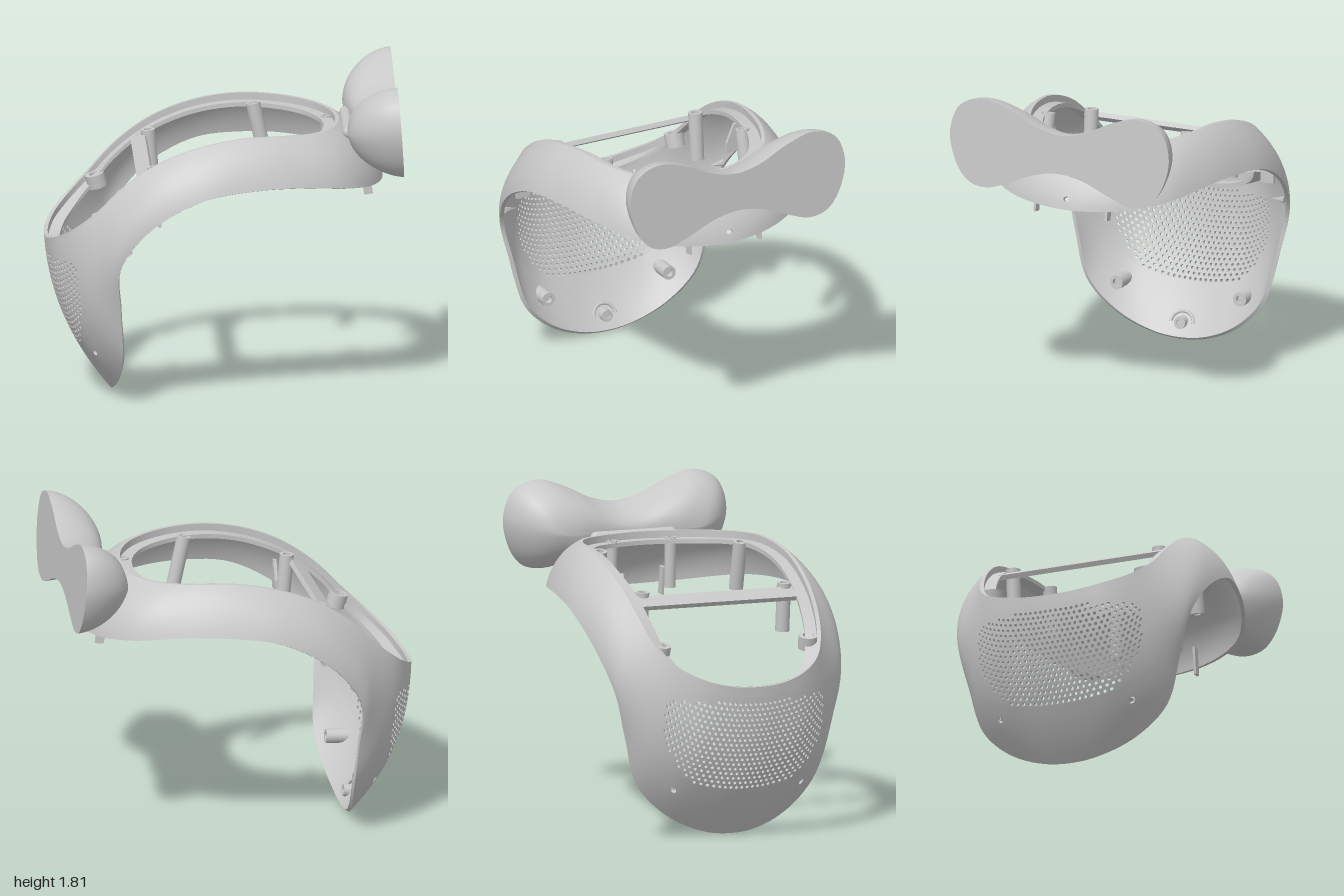
import * as THREE from 'three';

const V = (x, y, z) => new THREE.Vector3(x, y, z);
const grey = new THREE.MeshStandardMaterial({ color: 0xc8c8c8, side: THREE.DoubleSide });
grey.name = 'light grey plastic';

// Half outlines, front to rear: opening rim, mid-wall and lower hem
const RIM = [[-1, .88, 0], [-.99, .89, .15], [-.95, .93, .3], [-.865, 1, .43], [-.74, 1.11, .51], [-.58, 1.27, .55],
  [-.38, 1.41, .565], [-.15, 1.5, .57], [.1, 1.545, .545], [.32, 1.545, .5], [.5, 1.535, .4], [.61, 1.53, .24], [.655, 1.53, 0]];
const MID = [[-.895, .42, 0], [-.885, .43, .16], [-.86, .47, .34], [-.8, .58, .49], [-.72, .8, .6], [-.62, 1.02, .665],
  [-.42, 1.25, .69], [-.15, 1.385, .685], [.12, 1.437, .648], [.38, 1.435, .59], [.61, 1.42, .49], [.76, 1.39, .3], [.82, 1.37, 0]];
const HEM = [[-.63, 0, 0], [-.625, .025, .18], [-.6, .125, .385], [-.58, .3, .55], [-.595, .58, .63], [-.6, .82, .688],
  [-.45, 1.05, .74], [-.15, 1.235, .755], [.15, 1.285, .715], [.42, 1.285, .65], [.68, 1.25, .53], [.83, 1.215, .32], [.9, 1.2, 0]];

function mirroredLoop(half) {
  const pts = half.map(p => V(...p));
  for (let i = half.length - 2; i > 0; i--) pts.push(V(half[i][0], half[i][1], -half[i][2]));
  return new THREE.CatmullRomCurve3(pts, true);
}
const rim = mirroredLoop(RIM), mid = mirroredLoop(MID), hem = mirroredLoop(HEM);
const wrap = t => ((t % 1) + 1) % 1;

// Wall point: t runs around the shell, s from rim (0) to hem (1)
function wall(t, s) {
  const r = rim.getPoint(wrap(t)), m = mid.getPoint(wrap(t)), h = hem.getPoint(wrap(t));
  return r.multiplyScalar((1 - s) * (1 - 2 * s)).addScaledVector(m, 4 * s * (1 - s)).addScaledVector(h, s * (2 * s - 1));
}
function wallNormal(t, s) {
  const du = wall(t + .002, s).sub(wall(t - .002, s));
  const ds = wall(t, s + .01).sub(wall(t, s - .01));
  return ds.cross(du).normalize();
}
const THICK = .022;
const wallAt = (t, s, depth) => wall(t, s).addScaledVector(wallNormal(t, s), -depth);

// Point beside the rim, moved inward and down
function rimAt(t, inward, drop) {
  const p = rim.getPoint(wrap(t)), d = rim.getPoint(wrap(t + .002)).sub(rim.getPoint(wrap(t - .002)));
  const n = V(d.z, 0, -d.x).normalize();
  return V(p.x + n.x * inward, p.y - drop, p.z + n.z * inward);
}

function buffer(pos, idx, normals) {
  const g = new THREE.BufferGeometry();
  g.setAttribute('position', new THREE.Float32BufferAttribute(pos, 3));
  g.setIndex(idx);
  if (normals) g.setAttribute('normal', new THREE.Float32BufferAttribute(normals, 3));
  else g.computeVertexNormals();
  return g;
}

// Surface through closed rings of points, leaving out the quads chosen by skip
function loft(rings, skip = () => false) {
  const n = rings[0].length, idx = [];
  for (let j = 0; j < rings.length - 1; j++) for (let i = 0; i < n; i++) {
    if (skip(i, j)) continue;
    const a = j * n + i, b = j * n + (i + 1) % n, c = a + n, d = b + n;
    idx.push(a, c, b, b, c, d);
  }
  return buffer(rings.flat().flatMap(p => p.toArray()), idx);
}
const N = 144, ROWS = 18;
const ring = f => Array.from({ length: N }, (_, i) => f(i / N));
const steps = Array.from({ length: ROWS + 1 }, (_, j) => j / ROWS);

// Pieces of wall with a round hole through both faces, joined in one geometry
function holedWall(cells) {
  const pos = [], nor = [], idx = [];
  const put = (p, n) => { pos.push(...p.toArray()); nor.push(...n.toArray()); };
  const quad = (a, b, c, d) => idx.push(a, b, c, a, c, d);
  for (const { t, s, ht, hs, rt, rs } of cells) {
    const around = f => { for (let i = 0; i < 8; i++) f(Math.cos(i * Math.PI / 4), Math.sin(i * Math.PI / 4)); };
    const n = wallNormal(t, s);
    for (const depth of [0, THICK]) {
      const base = pos.length / 3, sign = depth ? -1 : 1;
      const vertex = (a, b) => put(wallAt(a, b, depth), wallNormal(a, b).multiplyScalar(sign));
      around((c, q) => vertex(t + Math.round(c) * ht, s + Math.round(q) * hs));
      around((c, q) => vertex(t + c * rt, s + q * rs));
      for (let i = 0; i < 8; i++) {
        const k = (i + 1) % 8, o = [base + i, base + 8 + i, base + 8 + k, base + k];
        quad(...(depth ? o.reverse() : o));
      }
    }
    if (!rt) continue;
    const base = pos.length / 3;
    for (const depth of [0, THICK]) {
      const centre = wall(t, s).addScaledVector(n, -depth);
      around((c, q) => {
        const p = wallAt(t + c * rt, s + q * rs, depth);
        put(p, centre.clone().sub(p).normalize());
      });
    }
    for (let i = 0; i < 8; i++) {
      const k = (i + 1) % 8;
      quad(base + i, base + 8 + i, base + 8 + k, base + k);
    }
  }
  return buffer(pos, idx, nor);
}

// Perforated front panel: staggered rows of cells, solid outside the vent outline
const PANEL = { half: 24, top: 1, bottom: 12 };
function panelCells() {
  const cells = [], edge = PANEL.half / N, cols = 40, rows = 19, w = 2 * edge / cols;
  const s0 = PANEL.top / ROWS, h = (PANEL.bottom - PANEL.top) / ROWS / rows;
  for (let r = 0; r < rows; r++) for (let c = 0; c <= cols; c++) {
    const start = -edge + (c - (r % 2) * .5) * w;
    const a = Math.max(start, -edge), b = Math.min(start + w, edge);
    if (b - a < w * .1) continue;
    const t = (a + b) / 2, s = s0 + (r + .5) * h, p = wall(t, s);
    const limit = Math.min(.485, .2 + .29 * Math.sqrt(Math.max(0, p.y - .28) / .31));
    const open = p.y > .285 && p.y < .805 && Math.abs(p.z) < limit && b - a > w * .9;
    cells.push({ t, s, ht: (b - a) / 2, hs: h / 2, rt: open ? w * .28 : 0, rs: open ? h * .32 : 0 });
  }
  return cells;
}

// Single screw holes, placed on the wall grid by column and row
const SCREWS = [[13, 14, .0042, .021], [N - 13, 14, .0042, .021], [72, 15, .0027, .042]];
const cutOut = (i, j) => {
  const inPanel = (i < PANEL.half || i >= N - PANEL.half) && j >= PANEL.top && j < PANEL.bottom;
  return inPanel || SCREWS.some(([c, r]) => (i === c || i === c - 1) && (j === r || j === r - 1));
};

export function createModel() {
  const model = new THREE.Group();
  const add = (name, geo) => {
    const m = new THREE.Mesh(geo, grey);
    m.name = name;
    model.add(m);
    return m;
  };

  // Curved shell: outer wall, inner wall, hem edge, vent panel and screw holes
  add('shellOuter', loft(steps.map(s => ring(t => wallAt(t, s, 0))), cutOut));
  add('shellInner', loft(steps.map(s => ring(t => wallAt(t, s, THICK))), cutOut));
  add('hemEdge', loft([0, THICK].map(d => ring(t => wallAt(t, 1, d)))));
  add('perforatedPanel', holedWall(panelCells()));
  add('screwHoles', holedWall(SCREWS.map(([c, r, rt, rs]) => ({ t: c / N, s: r / ROWS, ht: 1 / N, hs: 1 / ROWS, rt, rs }))));

  // Opening: lip, recess wall and ledge
  const section = [[0, 0], [.022, 0], [.022, .04], [.088, .04], [.088, .065], [.01, .065]];
  const names = ['rimLip', 'recessWall', 'ledgeTop', 'ledgeEdge', 'ledgeUnderside'];
  names.forEach((name, k) => add(name, loft([section[k + 1], section[k]].map(q => ring(t => rimAt(t, q[0], q[1]))))));

  // Crossbar over the opening
  const bar = add('crossbar', new THREE.BoxGeometry(.09, .028, .97));
  bar.position.set(-.45, 1.305, 0);
  bar.rotation.z = .55;

  // Screw posts hollow at both ends, from root a to tip b; the root can be cut to the wall slope
  function post(name, a, b, r, slopeX = 0, slopeZ = 0) {
    const L = a.distanceTo(b), ri = r * .55, h = Math.min(.05, L * .3);
    const prof = [[0, L - h], [ri, L - h], [ri, L - h], [ri, L], [ri, L], [r, L], [r, L], [r, 0], [r, 0], [ri, 0], [ri, 0], [ri, h], [ri, h], [0, h]];
    const g = new THREE.LatheGeometry(prof.map(p => new THREE.Vector2(...p)), 24);
    const p = g.attributes.position;
    for (let i = 0; i < p.count; i++) {
      if (p.getY(i) > L - .001) p.setY(i, L + slopeX * p.getX(i) + slopeZ * p.getZ(i));
    }
    const m = add(name, g);
    m.position.copy(b);
    m.quaternion.setFromUnitVectors(V(0, 1, 0), a.clone().sub(b).normalize());
  }
  for (const k of [1, -1]) {
    post('sidePost', V(.19, 1.511, k * .43), V(.25, 1.235, k * .43), .04);
    post('rearPost', V(.59, 1.498, k * .18), V(.6, 1.21, k * .18), .032);
    post('barPost', V(-.4, 1.362, k * .435), V(-.375, 1.085, k * .435), .04);
    post('cornerBoss', V(-.7, 1.105, k * .45), V(-.68, 1.03, k * .455), .055);
    post('frontBoss', V(-.708, .28, k * .38), V(-.61, .285, k * .38), .04, .75, -.55 * k);

    // Locating fins and ribs inside the wall
    const fin = add('rearFin', new THREE.BoxGeometry(.05, .16, .014));
    fin.position.set(.8, 1.22, k * .22);
    fin.rotation.z = .15;
    const rib = new THREE.Shape([[.62, 1.08], [.7, 1.08], [.7, 1.25], [.665, 1.25], [.62, 1.14]].map(p => new THREE.Vector2(k * p[0], p[1])));
    const ribMesh = add('sideRib', new THREE.ExtrudeGeometry(rib, { depth: .018, bevelEnabled: false }));
    ribMesh.rotation.y = -Math.PI / 2;
    ribMesh.position.x = -.37;
    const wedge = add('sideWedge', new THREE.ConeGeometry(.022, .08, 4));
    wedge.rotation.x = -k * Math.PI / 2;
    wedge.position.set(-.55, .93, k * .645);
  }
  post('chinBoss', V(-.665, .088, 0), V(-.63, .092, 0), .035, .6);
  const collar = add('chinCollar', new THREE.TorusGeometry(.068, .01, 8, 24, Math.PI));
  collar.rotation.set(0, Math.PI / 2, .54, 'ZYX');
  collar.position.set(-.662, .085, 0);

  // Two-lobed head pad: outline in z and y, domed toward a central spine
  const outline = mirroredLoop([[0, 1.66, 0], [0, 1.69, .15], [0, 1.765, .31], [0, 1.81, .48], [0, 1.755, .62], [0, 1.6, .675],
    [0, 1.42, .63], [0, 1.325, .55], [0, 1.303, .44], [0, 1.35, .3], [0, 1.415, .14], [0, 1.437, 0]]);
  const padPoint = (t, s) => {
    const o = outline.getPoint(t);
    const z = THREE.MathUtils.lerp(o.z * .6, o.z, s), y = THREE.MathUtils.lerp(1.52, o.y, s);
    const depth = .25 + .045 * THREE.MathUtils.smoothstep(Math.abs(z), 0, .35);
    return V(1 - (y - 1.3) * .07 - depth * Math.pow(1 - s * s, .6), y, z);
  };
  const padSteps = steps.map(s => Math.sin(s * Math.PI / 2));
  add('padDome', loft(padSteps.map(s => ring(t => padPoint(t, s))).reverse()));
  const face = new THREE.ShapeGeometry(new THREE.Shape(ring(t => outline.getPoint(t)).map(p => new THREE.Vector2(-p.z, p.y))));
  const fp = face.attributes.position;
  for (let i = 0; i < fp.count; i++) fp.setXYZ(i, 1 - (fp.getY(i) - 1.3) * .07, fp.getY(i), -fp.getX(i));
  face.computeVertexNormals();
  add('padFace', face);

  // Mount joining pad and shell
  const mount = add('padMount', new THREE.CapsuleGeometry(.035, .46, 6, 16));
  mount.rotation.x = Math.PI / 2;
  mount.position.set(.7, 1.5, 0);
  return model;
}
